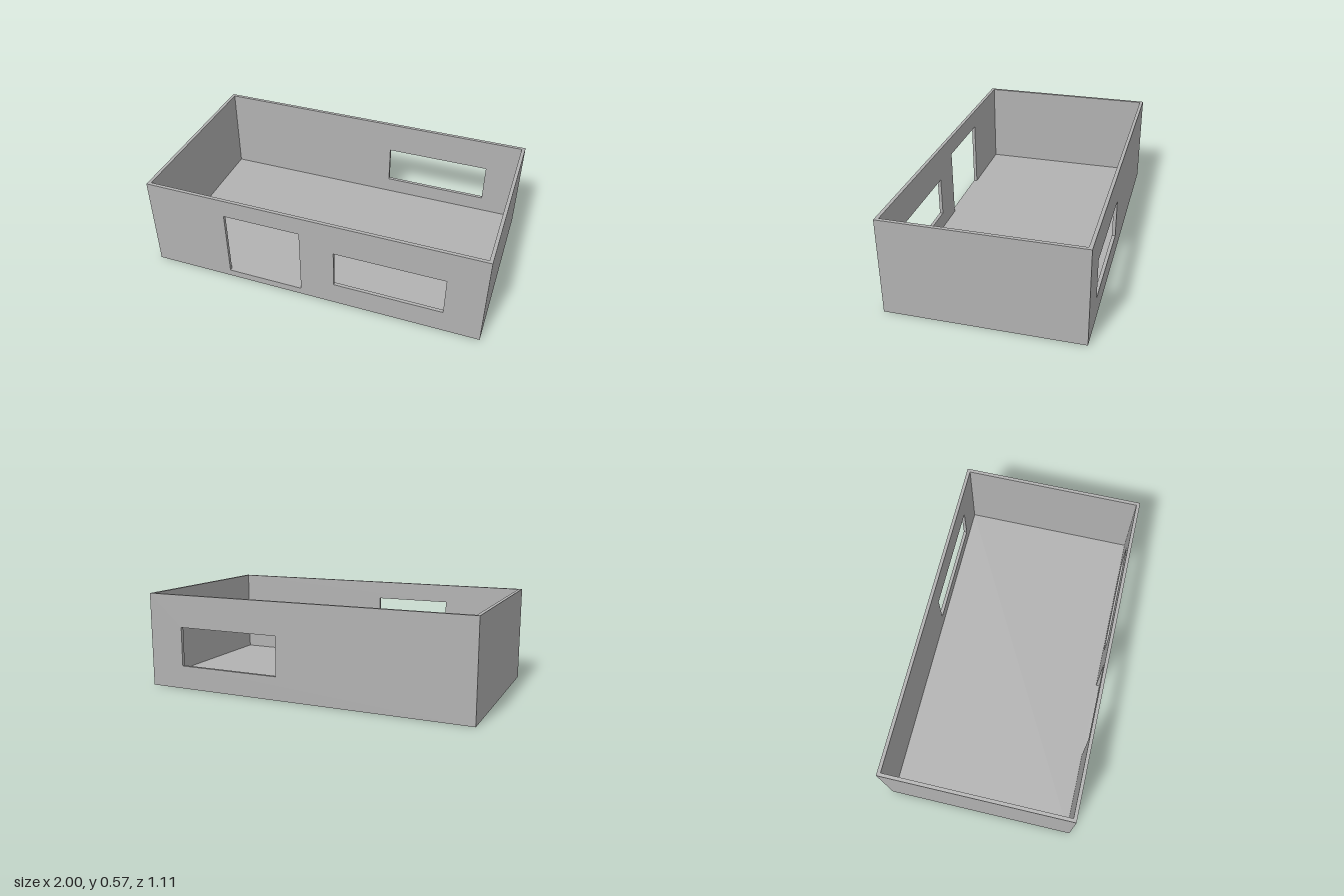
import * as THREE from 'three';

const W = 2, H = 0.567, D = 1.11; // outer size
const T = 0.02, FLOOR = 0.042;    // wall and floor thickness

// Rectangular outline, as a shape or a hole
function rect(path, x0, y0, x1, y1) {
  path.moveTo(x0, y0);
  path.lineTo(x1, y0);
  path.lineTo(x1, y1);
  path.lineTo(x0, y1);
  path.closePath();
  return path;
}

export function createModel() {
  const group = new THREE.Group();
  const grey = new THREE.MeshStandardMaterial({ color: 0xb2b2b2 });
  grey.name = 'plain grey';

  function add(name, geometry, x, y, z) {
    const mesh = new THREE.Mesh(geometry, grey);
    mesh.name = name;
    mesh.position.set(x, y, z);
    group.add(mesh);
  }

  // Long wall with cut openings, each [x0, y0, x1, y1]
  function longWall(name, z, openings) {
    const shape = rect(new THREE.Shape(), -W / 2, 0, W / 2, H);
    for (const o of openings) shape.holes.push(rect(new THREE.Path(), ...o));
    add(name, new THREE.ExtrudeGeometry(shape, { depth: T, bevelEnabled: false }), 0, 0, z);
  }

  const windowHole = [0.145, 0.139, 0.782, 0.373];
  const doorHole = [-0.518, FLOOR, -0.058, 0.457];
  longWall('frontWall', D / 2 - T, [windowHole, doorHole]);
  longWall('backWall', -D / 2, [windowHole]);

  // End walls between the long walls
  for (const [name, side] of [['leftWall', 1], ['rightWall', -1]]) {
    add(name, new THREE.BoxGeometry(T, H, D - 2 * T), side * (W - T) / 2, H / 2, 0);
  }

  // Floor slab, level with the door sill
  add('floor', new THREE.BoxGeometry(W - 2 * T, FLOOR, D - 2 * T), 0, FLOOR / 2, 0);

  return group;
}
